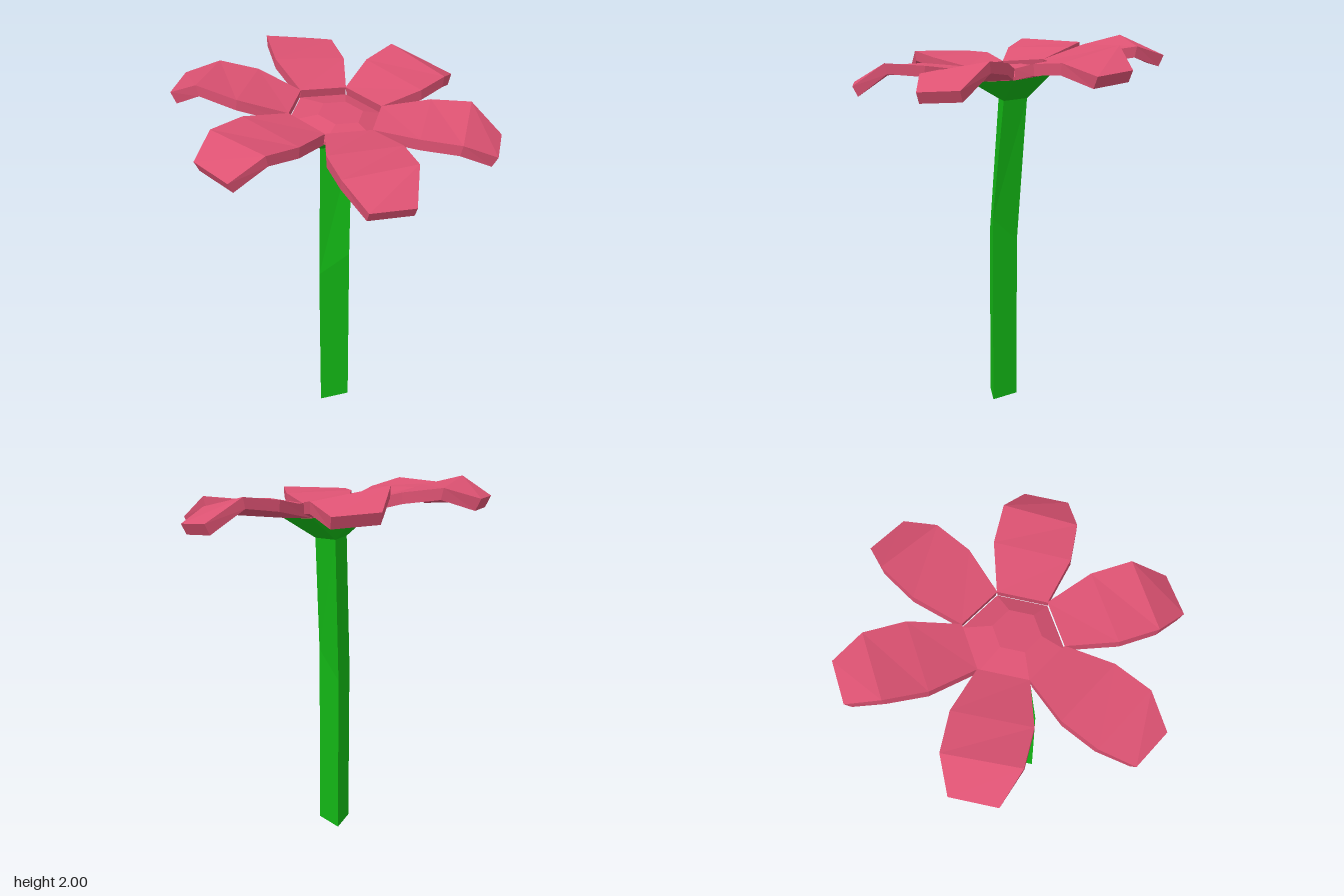
import * as THREE from 'three';

const GREEN = 0x13b815, PINK = 0xdc5272;
const TILT = 0.118; // the flower head leans down towards +x
const STEP = Math.PI / 3;
const HEX = THREE.MathUtils.degToRad(6); // angle of the first hexagon corner

const tilted = (x, h, z) => new THREE.Vector3(x, h - TILT * x, z);

// Faceted skin over a list of closed rings, capped at both ends
function loft(name, rings, color) {
  const pos = [];
  const tri = (a, b, c) => {
    if (a.equals(b) || b.equals(c) || a.equals(c)) return;
    for (const p of [a, b, c]) pos.push(p.x, p.y, p.z);
  };
  const n = rings[0].length;
  for (let i = 0; i < rings.length - 1; i++) {
    for (let j = 0; j < n; j++) {
      const k = (j + 1) % n;
      tri(rings[i][j], rings[i][k], rings[i + 1][k]);
      tri(rings[i][j], rings[i + 1][k], rings[i + 1][j]);
    }
  }
  const first = rings[0], last = rings[rings.length - 1];
  for (let j = 1; j < n - 1; j++) {
    tri(first[0], first[j + 1], first[j]);
    tri(last[0], last[j], last[j + 1]);
  }
  const geometry = new THREE.BufferGeometry();
  geometry.setAttribute('position', new THREE.Float32BufferAttribute(pos, 3));
  geometry.computeVertexNormals();
  const mesh = new THREE.Mesh(geometry, new THREE.MeshStandardMaterial({ color, flatShading: true }));
  mesh.name = name;
  return mesh;
}

// Hexagon ring lying in the tilted plane of the flower head
function hexRing(radius, h, cx = 0) {
  return Array.from({ length: 6 }, (_, i) => {
    const a = HEX + (2 - i) * STEP;
    return tilted(cx + radius * Math.cos(a), h, radius * Math.sin(a));
  });
}

// Petal stations: distance, height, half width, twist, inward shift of the underside
const STATIONS = [
  [0.206, 1.845, 0.12, 0, -0.012],
  [0.442, 1.89, 0.185, 0.008, -0.005],
  [0.643, 1.91, 0.18, 0.02, 0.012],
  [0.807, 1.825, 0.11, 0, 0.027],
];
const THICKNESS = 0.055;

function petal(angle) {
  const c = Math.cos(angle), s = Math.sin(angle);
  const rings = STATIONS.map(([d, h, w, twist, shift]) => {
    const at = (dist, side, y) => tilted(dist * c + side * s, y, dist * s - side * c);
    return [
      at(d - shift, w, h + twist - THICKNESS),
      at(d, w, h + twist),
      at(d, -w, h - twist),
      at(d - shift, -w, h - twist - THICKNESS),
    ];
  });
  return loft('petal', rings, PINK);
}

export function createModel() {
  const model = new THREE.Group();
  model.name = 'flower';
  const v = (x, y, z) => new THREE.Vector3(x, y, z);

  // Three-sided stem with one bend
  const stemTop = [v(-0.022, 1.665, 0.1), v(0.07, 1.66, -0.04), v(-0.09, 1.67, -0.05)];
  model.add(loft('stem', [
    [v(0, 0, 0.15), v(0.1, 0, 0.015), v(-0.065, 0, 0)],
    [v(0, 0.93, 0.15), v(0.1, 1.03, 0.015), v(-0.065, 0.89, 0)],
    stemTop,
  ], GREEN));

  // Calyx widening from the triangular stem to the hexagon
  model.add(loft('calyx', [
    stemTop.flatMap((p) => [p, p]),
    hexRing(0.24, 1.787),
  ], GREEN));

  // Slightly raised flower centre
  model.add(loft('flowerCentre', [
    hexRing(0.24, 1.787),
    hexRing(0.24, 1.805),
    hexRing(0.115, 1.84, 0.03),
  ], PINK));

  // Six petals, one on each side of the centre
  const petals = new THREE.Group();
  petals.name = 'petals';
  for (let i = 0; i < 6; i++) petals.add(petal(HEX + (i + 0.5) * STEP));
  model.add(petals);

  return model;
}
